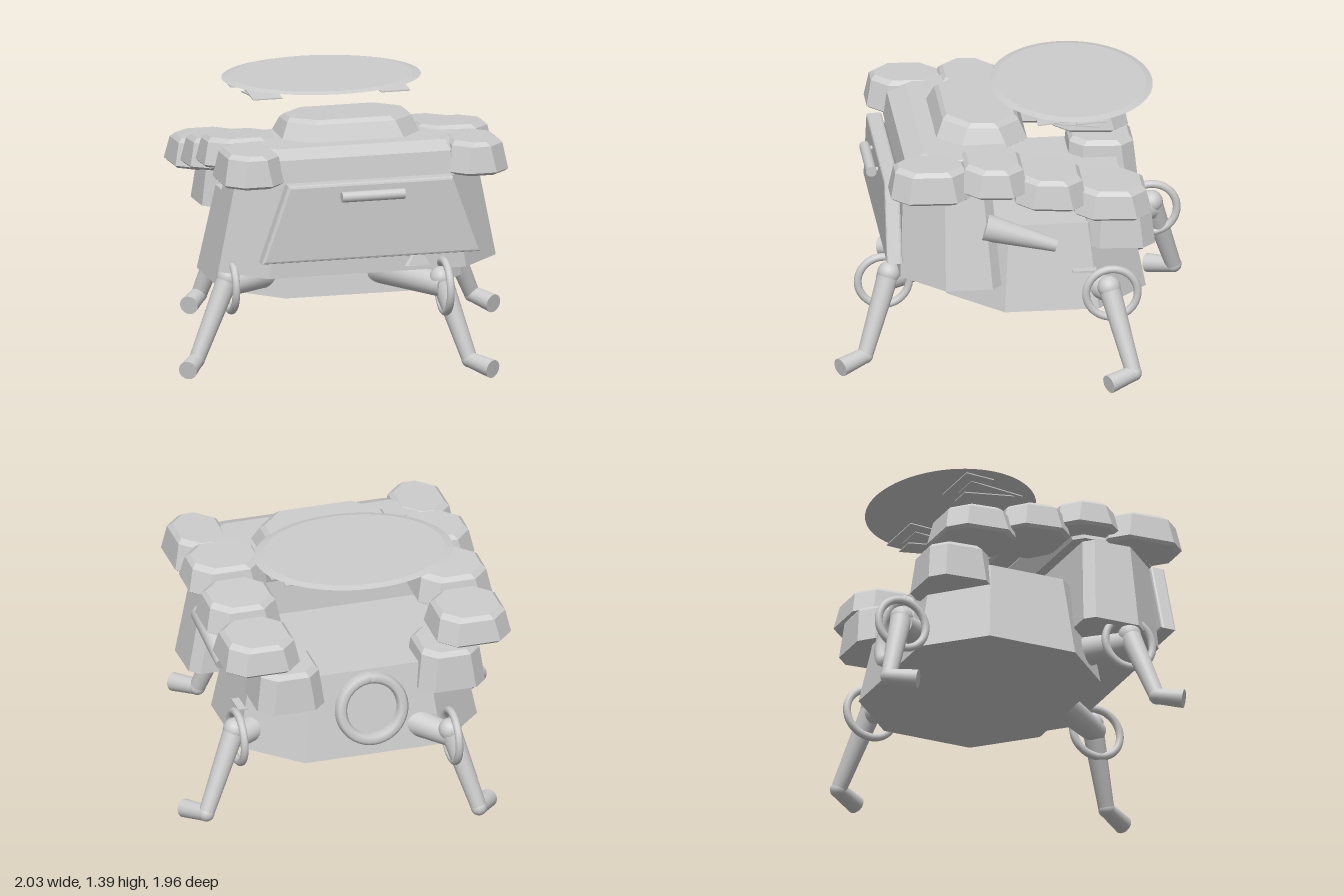
import * as THREE from 'three';

const V = (x, y, z) => new THREE.Vector3(x, y, z);

// Octagonal loft: each section is [y, x0, x1, z0, z1, frontChamfer, backChamfer]; tilt leans it along z
function loft(sections, tilt = 0) {
  const rings = sections.map(([y, x0, x1, z0, z1, c, b = c]) => [
    [x1, z0 + b], [x1, z1 - c], [x1 - c, z1], [x0 + c, z1],
    [x0, z1 - c], [x0, z0 + b], [x0 + b, z0], [x1 - b, z0],
  ].map(([x, z]) => [x, y + tilt * (z - (z0 + z1) / 2), z]));
  const pos = [];
  const tri = (...p) => p.forEach((q) => pos.push(...q));
  for (let r = 0; r + 1 < rings.length; r++) {
    for (let i = 0; i < 8; i++) {
      const j = (i + 1) % 8, a = rings[r], b = rings[r + 1];
      tri(a[i], b[i], b[j]);
      tri(a[i], b[j], a[j]);
    }
  }
  const low = rings[0], top = rings[rings.length - 1];
  for (let i = 1; i < 7; i++) {
    tri(low[0], low[i], low[i + 1]);
    tri(top[0], top[i + 1], top[i]);
  }
  const g = new THREE.BufferGeometry();
  g.setAttribute('position', new THREE.Float32BufferAttribute(pos, 3));
  g.computeVertexNormals();
  return g;
}

// Padded block with softened edges and inward-leaning sides
function pad(x0, x1, y0, y1, z0, z1, c, lean = 0.03, tilt = 0) {
  const ring = (y, d) => [y, x0 + d, x1 - d, z0 + d, z1 - d, c];
  return loft([ring(y0, 0.015), ring(y0 + 0.015, 0), ring(y1 - 0.022, lean), ring(y1, lean + 0.022)], tilt);
}

export function createModel() {
  const model = new THREE.Group();
  const grey = new THREE.MeshStandardMaterial({ color: 0xcccccc });
  grey.name = 'light grey';

  const add = (name, geometry, parent = model) => {
    const m = new THREE.Mesh(geometry, grey);
    m.name = name;
    parent.add(m);
    return m;
  };
  // Round rod between two points
  const rod = (name, a, b, ra, rb = ra, parent = model) => {
    const d = b.clone().sub(a);
    const m = add(name, new THREE.CylinderGeometry(rb, ra, d.length(), 24), parent);
    m.position.copy(a).addScaledVector(d, 0.5);
    m.quaternion.setFromUnitVectors(V(0, 1, 0), d.normalize());
    return m;
  };

  // Hull, cabin and roof
  add('hull', loft([
    [0.36, -0.66, 0.66, -0.69, 0.37, 0.28],
    [0.82, -0.57, 0.57, -0.6, 0.3, 0.24],
  ]));
  add('cabin', loft([
    [0.54, -0.76, 0.76, 0.115, 0.635, 0.22, 0.05],
    [1.05, -0.66, 0.66, 0.155, 0.61, 0.2, 0.05],
  ]));
  add('roof', loft([
    [1.04, -0.66, 0.66, 0.1, 0.62, 0.18, 0.05],
    [1.17, -0.6, 0.6, 0.06, 0.6, 0.14, 0.05],
    [1.21, -0.56, 0.56, 0.06, 0.5, 0.1, 0.05],
  ]));
  add('roofHatch', pad(-0.38, 0.38, 1.18, 1.31, -0.07, 0.415, 0.12, 0.04, 0.04));

  // Front panel with its handle
  const outline = new THREE.Shape([[-0.58, 0.65], [0.58, 0.65], [0.44, 1.04], [-0.44, 1.04]]
    .map(([x, y]) => new THREE.Vector2(x, y)));
  const panel = add('frontPanel', new THREE.ExtrudeGeometry(outline, {
    depth: 0.06, bevelThickness: 0.012, bevelSize: 0.015, bevelSegments: 2,
  }));
  panel.position.z = 0.64;
  rod('panelHandle', V(-0.172, 0.99, 0.75), V(0.172, 0.99, 0.75), 0.028);
  for (const s of [-1, 1]) rod('handlePost', V(s * 0.14, 0.99, 0.75), V(s * 0.14, 0.99, 0.7), 0.012);

  // Rows of padded blocks along both sides: y0, y1, z0, z1, inner x, outer x, tilt
  const rows = [
    [1.04, 1.215, 0.27, 0.7, 0.45, 0.775, 0.02],
    [1.065, 1.22, -0.03, 0.33, 0.36, 0.79, 0.05],
    [0.985, 1.145, -0.345, 0.04, 0.38, 0.79, 0.06],
    [0.915, 1.07, -0.685, -0.275, 0.38, 0.79, 0.04],
  ];
  for (const s of [-1, 1]) {
    const span = (a, b) => (s > 0 ? [a, b] : [-b, -a]);
    for (const [y0, y1, z0, z1, a, b, tilt] of rows) {
      add('sidePad', pad(...span(a, b), y0, y1, z0, z1, 0.085, 0.025, tilt));
    }
    const [x0, x1] = span(0.26, 0.63);
    add('rearBox', loft([
      [0.69, x0, x1, -0.72, -0.345, 0.07],
      [0.88, x0 + 0.025, x1 - 0.025, -0.7, -0.36, 0.07],
      [0.905, x0 + 0.045, x1 - 0.045, -0.68, -0.38, 0.07],
    ], 0.03));
  }

  // Side pipe
  rod('sidePipe', V(0.66, 0.86, 0.2), V(0.68, 0.745, -0.18), 0.075, 0.035);

  // Round port on the sloping back wall
  const port = new THREE.Group();
  port.name = 'rearPort';
  port.position.set(0, 0.61, -0.635);
  port.rotation.x = 0.19;
  const tube = [[0.14, -0.02], [0.14, 0.035], [0.155, 0.05], [0.185, 0.05], [0.2, 0.035], [0.2, -0.02]]
    .map(([r, y]) => new THREE.Vector2(r, y)).reverse();
  const rim = add('portRim', new THREE.LatheGeometry(tube.reverse(), 40), port);
  rim.rotation.x = -Math.PI / 2;
  rim.material = grey;
  const glass = add('portPlate', new THREE.CylinderGeometry(0.145, 0.145, 0.02, 40), port);
  glass.rotation.x = -Math.PI / 2;
  model.add(port);
  // Lathe faces outward only when its profile runs upward, so flip the ring's corners
  const idx = rim.geometry.index.array;
  for (let i = 0; i < idx.length; i += 3) [idx[i], idx[i + 1]] = [idx[i + 1], idx[i]];
  rim.geometry.computeVertexNormals();

  // Four legs: arm root, hoop centre, knee, ankle, toe
  const legs = [
    ['frontLeftLeg', V(0.14, 0.49, 0.32), V(0.4, 0.46, 0.71), V(0.39, 0.5, 0.68), V(0.51, 0.08, 0.82), V(0.6, 0.055, 0.96)],
    ['frontRightLeg', V(-0.4, 0.48, 0.2), V(-0.69, 0.46, 0.39), V(-0.7, 0.5, 0.39), V(-0.89, 0.08, 0.46), V(-0.97, 0.055, 0.58)],
    ['rearLeftLeg', V(0.4, 0.48, -0.3), V(0.69, 0.46, -0.476), V(0.7, 0.5, -0.46), V(0.89, 0.08, -0.57), V(0.97, 0.055, -0.43)],
    ['rearRightLeg', V(-0.16, 0.49, -0.5), V(-0.4, 0.46, -0.8), V(-0.39, 0.5, -0.8), V(-0.51, 0.08, -0.93), V(-0.6, 0.055, -0.8)],
  ];
  for (const [name, root, hoop, knee, ankle, toe] of legs) {
    const leg = new THREE.Group();
    leg.name = name;
    rod('upperArm', root, hoop, 0.085, 0.06, leg);
    rod('shin', knee, ankle, 0.058, 0.042, leg);
    rod('foot', ankle, toe, 0.042, 0.05, leg);
    for (const [c, r] of [[knee, 0.062], [ankle, 0.044]]) {
      add('joint', new THREE.SphereGeometry(r, 20, 14), leg).position.copy(c);
    }
    const ring = add('hoop', new THREE.TorusGeometry(0.137, 0.021, 12, 48), leg);
    ring.position.copy(hoop);
    ring.rotation.y = Math.PI / 2;
    model.add(leg);
  }
  add('legMount', loft([[0.565, 0.2, 0.36, 0.55, 0.65, 0.02], [0.62, 0.23, 0.33, 0.55, 0.64, 0.02]]));
  add('rearFin', new THREE.BoxGeometry(0.12, 0.009, 0.13)).position.set(0.6, 0.575, -0.335);

  // Oval dish above the back
  const dish = add('dish', new THREE.CylinderGeometry(0.49, 0.535, 0.01, 72));
  dish.position.set(0, 1.392, -0.33);
  dish.scale.z = 0.81;

  // Thin folded brackets under the dish: width, y, depth, centre z, tilt
  const plates = [[0.3, 1.362, 0.16, -0.39, 0.06], [0.16, 1.345, 0.3, -0.26, 0.1], [0.12, 1.315, 0.3, -0.29, -0.12]];
  for (const s of [-1, 1]) {
    for (const [w, y, d, z, t] of plates) {
      const p = add('dishBracket', new THREE.BoxGeometry(w, 0.006, d));
      p.position.set(s * 0.35, y, z);
      p.rotation.x = t;
    }
  }
  return model;
}
